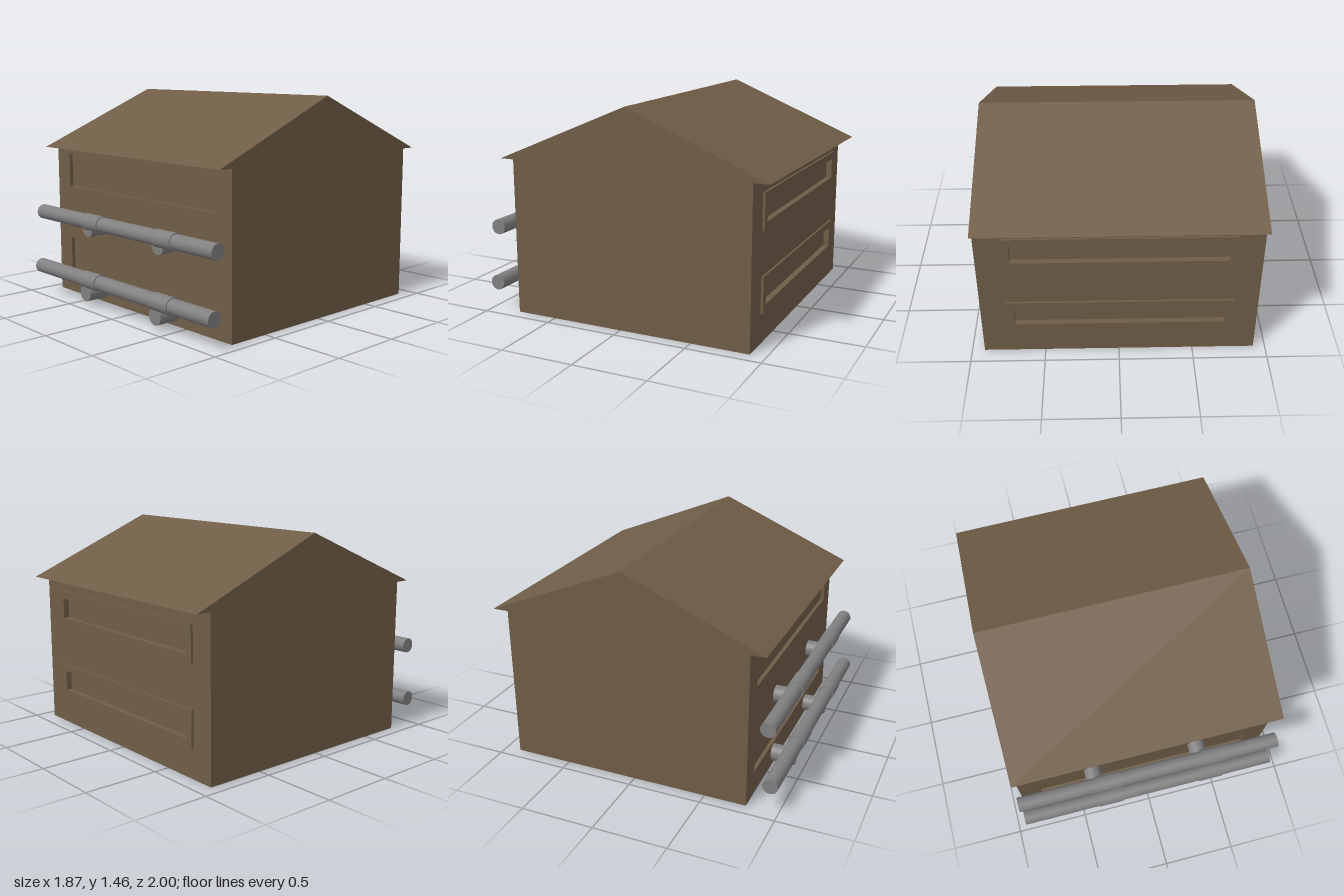
import * as THREE from 'three';

export function createModel() {
  const group = new THREE.Group();
  const brown = new THREE.MeshStandardMaterial({ color: 0x6f5d47 });
  brown.name = 'brown';
  const grey = new THREE.MeshStandardMaterial({ color: 0x808080 });
  grey.name = 'grey';

  const add = (name, geometry, material) => {
    const mesh = new THREE.Mesh(geometry, material);
    mesh.name = name;
    group.add(mesh);
    return mesh;
  };

  // Corner points of a rectangle [x0, y0, x1, y1]
  const corners = ([x0, y0, x1, y1]) => [[x0, y0], [x1, y0], [x1, y1], [x0, y1]]
    .map(([x, y]) => new THREE.Vector2(x, y));

  // Upright plate with rectangular holes, from z0 to z1
  const plate = (name, outline, holes, z0, z1) => {
    const shape = new THREE.Shape(corners(outline));
    for (const h of holes) shape.holes.push(new THREE.Path(corners(h).reverse()));
    const geometry = new THREE.ExtrudeGeometry(shape, { depth: z1 - z0, bevelEnabled: false });
    add(name, geometry.translate(0, 0, z0), brown);
  };

  // Walls: solid core with a pierced skin at front and back
  const wall = [-0.92, 0, 0.915, 1.06];
  const front = 0.785, back = -0.895, recess = 0.025;
  const frontPanels = [[-0.775, 0.165, 0.77, 0.40], [-0.775, 0.78, 0.77, 1.015]];
  const backFrames = [[-0.757, 0.20, 0.742, 0.44], [-0.757, 0.73, 0.742, 0.97]];
  const border = 0.05;
  const backPanels = backFrames.map(([a, b, c, d]) => [a + border, b + border, c - border, d - border]);

  plate('wallCore', wall, [], back + recess, front - recess);
  plate('frontWall', wall, frontPanels, front - recess, front);
  plate('backWall', wall, backPanels, back, back + recess);

  // Raised frames around the back recesses
  backFrames.forEach((f, i) => plate('backFrame', f, [backPanels[i]], back - 0.015, back));

  // Gabled roof block, drawn as a (z, y) profile and swept along x
  const gable = new THREE.Shape([[-1, 1.06], [0.885, 1.06], [-0.055, 1.455]]
    .map(([z, y]) => new THREE.Vector2(z, y)));
  const roof = new THREE.ExtrudeGeometry(gable, { depth: 1.84, bevelEnabled: false });
  add('roof', roof.rotateY(-Math.PI / 2).translate(0.915, 0, 0), brown);

  // Rails across the front with sleeves and wall brackets
  const barX = (name, r, x0, x1, y, z) =>
    add(name, new THREE.CylinderGeometry(r, r, x1 - x0, 32).rotateZ(Math.PI / 2), grey)
      .position.set((x0 + x1) / 2, y, z);

  for (const { y, z } of [{ y: 0.59, z: 0.915 }, { y: 0.193, z: 0.943 }]) {
    barX('rail', 0.051, -0.935, 0.935, y, z);
    for (const x of [-0.38, 0.38]) {
      barX('railSleeve', 0.057, x, x + 0.18, y, z);
      const length = z - front;
      add('railBracket', new THREE.CylinderGeometry(0.058, 0.058, length, 32).rotateX(Math.PI / 2), grey)
        .position.set(x, y - 0.103 + (y > 0.4 ? 0.052 : 0), front + length / 2);
    }
  }

  return group;
}
